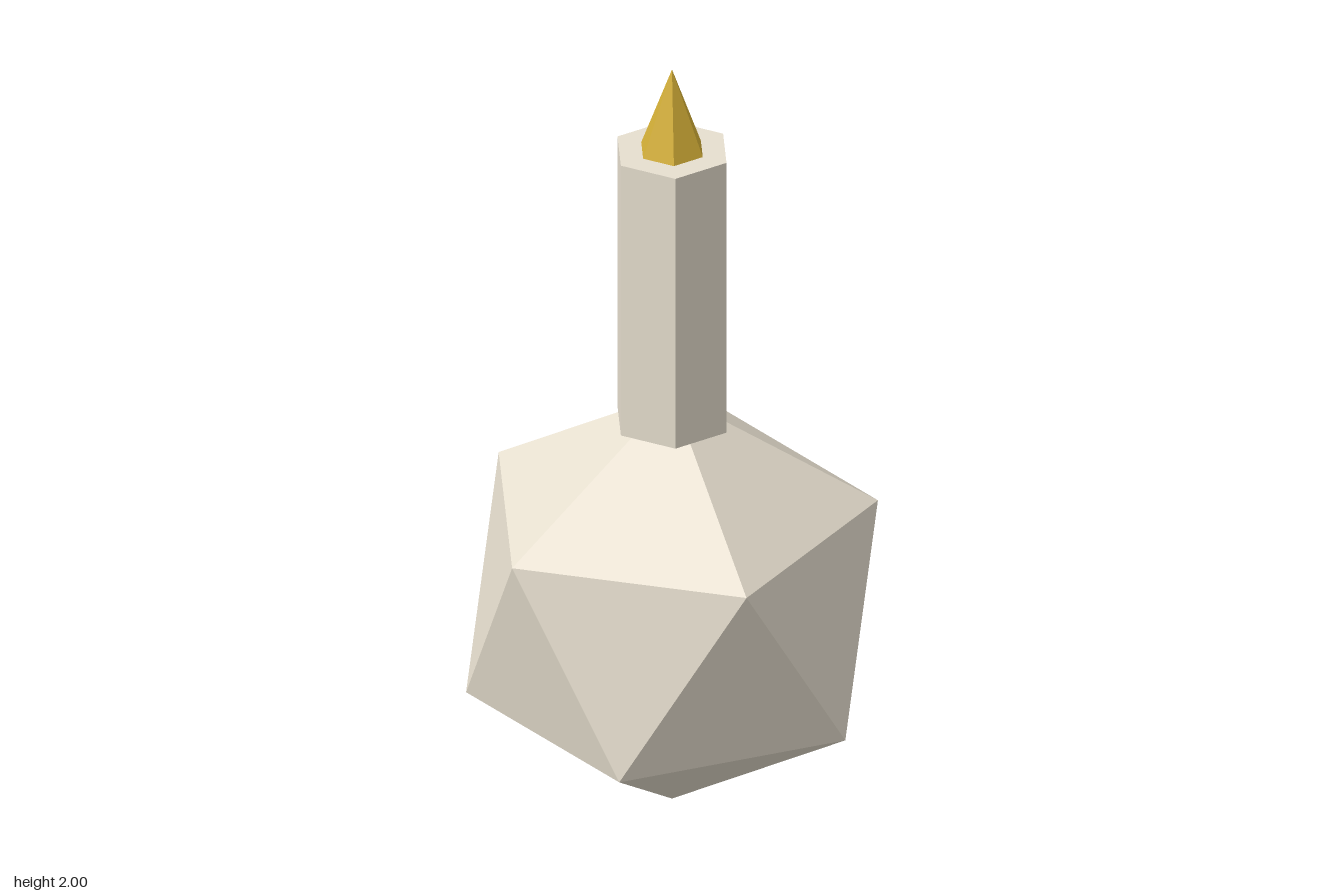
import * as THREE from 'three';

export function createModel() {
  const group = new THREE.Group();
  const cream = new THREE.MeshStandardMaterial({ color: 0xe8e0d0, flatShading: true });
  cream.name = 'cream';
  const gold = new THREE.MeshStandardMaterial({ color: 0xd4af37, flatShading: true });
  gold.name = 'gold';

  const add = (name, geometry, material, y) => {
    const mesh = new THREE.Mesh(geometry, material);
    mesh.name = name;
    mesh.position.y = y;
    group.add(mesh);
  };

  // Faceted body: an icosahedron turned to stand on one corner
  const R = 0.555;
  const golden = (1 + Math.sqrt(5)) / 2;
  const body = new THREE.IcosahedronGeometry(R, 0).rotateZ(-Math.atan(1 / golden));
  add('body', body, cream, R);

  // Six-sided neck, its closed lower end sunk over the body's top corner
  const neckBottom = 1.04, neckTop = 1.78;
  add('neck', new THREE.CylinderGeometry(0.147, 0.147, neckTop - neckBottom, 6), cream,
    (neckBottom + neckTop) / 2);

  // Pointed tip
  add('tip', new THREE.ConeGeometry(0.083, 2 - neckTop, 6), gold, (2 + neckTop) / 2);

  return group;
}
